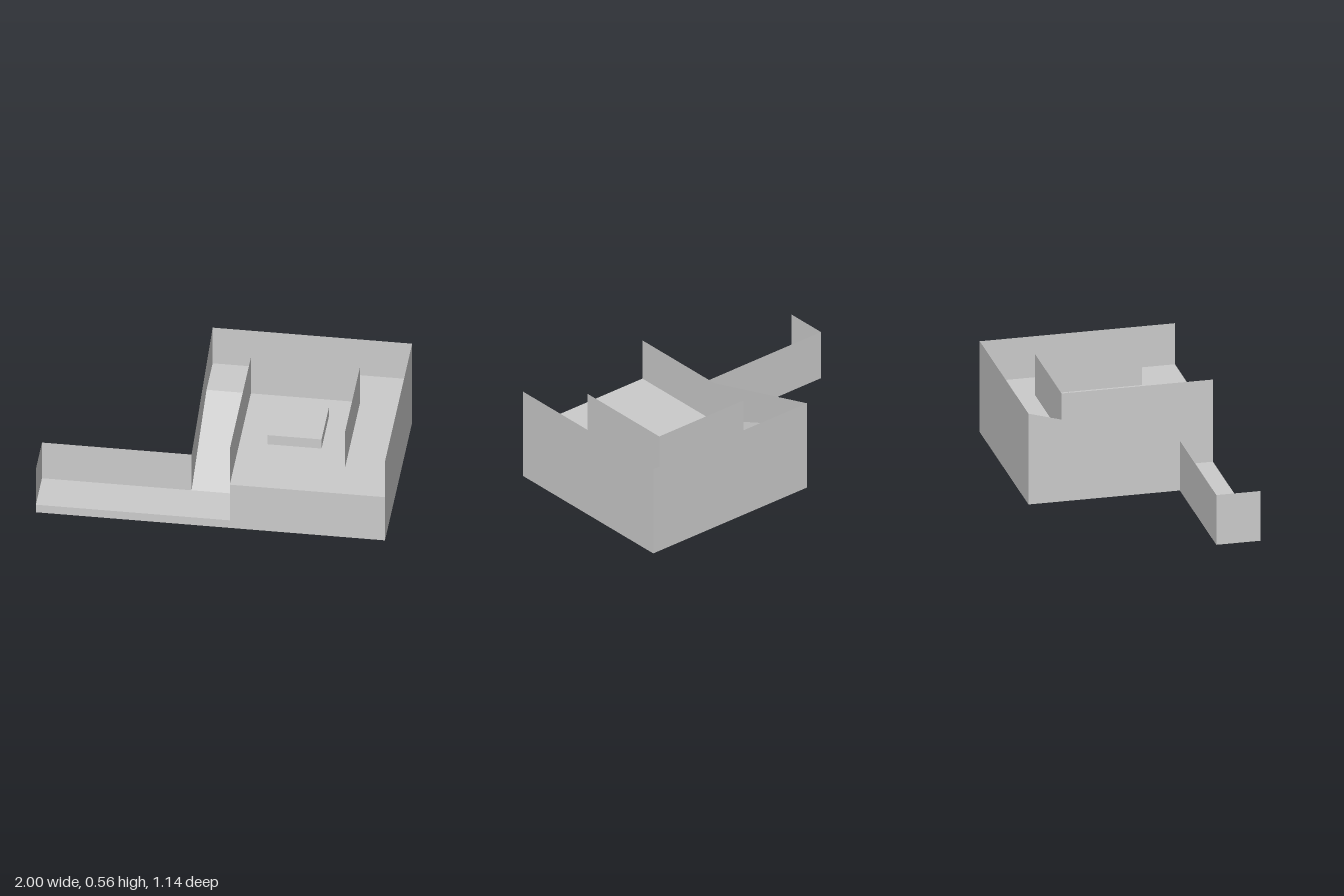
import * as THREE from 'three';

// Key plan lines and levels
const X0 = -1, XA = -0.143, XB = 0.111, XC = 0.737, X1 = 1;
const ZB = -0.571, ZI = -0.314, ZF = 0.314, Z1 = 0.571;
const LOW = 0.053, MID = 0.304, TOP = 0.555;

export function createModel() {
  const group = new THREE.Group();
  const solid = new THREE.MeshStandardMaterial({ color: 0xcccccc, flatShading: true });
  const sheet = new THREE.MeshStandardMaterial({ color: 0xcccccc, flatShading: true, side: THREE.DoubleSide });

  const add = (name, geometry, material) => {
    const mesh = new THREE.Mesh(geometry, material);
    mesh.name = name;
    group.add(mesh);
    return mesh;
  };
  const block = (name, xa, xb, ya, yb, za, zb) => add(name,
    new THREE.BoxGeometry(xb - xa, yb - ya, zb - za)
      .translate((xa + xb) / 2, (ya + yb) / 2, (za + zb) / 2), solid);
  const outline = (points) => new THREE.Shape(points.map(([a, b]) => new THREE.Vector2(a, b)));
  const rect = (a, b, ya, yb) => [[a, ya], [b, ya], [b, yb], [a, yb]];
  // Thin wall facing front/back, outlined in x,y
  const wallX = (name, z, points) =>
    add(name, new THREE.ShapeGeometry(outline(points)).translate(0, 0, z), sheet);
  // Thin wall facing sideways, outlined in z,y
  const wallZ = (name, x, points) =>
    add(name, new THREE.ShapeGeometry(outline(points)).rotateY(-Math.PI / 2).translate(x, 0, 0), sheet);

  // Floors: low entry corridor, raised platform, and ramp with landing
  block('entryFloor', X0, XB, 0, LOW, ZF, Z1);
  block('platform', XB, X1, 0, MID, ZB, Z1);
  const rampProfile = outline([[ZB, 0], [ZF, 0], [ZF, LOW], [ZI, MID], [ZB, MID]]);
  add('ramp', new THREE.ExtrudeGeometry(rampProfile, { depth: XB - XA, bevelEnabled: false })
    .rotateY(-Math.PI / 2).translate(XB, 0, 0), solid);

  // Low dais in the middle of the inner room
  block('dais', 0.272, 0.58, MID, 0.368, -0.157, 0.157);

  // Outer walls
  wallZ('entryEndWall', X0, rect(ZF, Z1, LOW, MID));
  wallX('entryBackWall', ZF, rect(X0, XA, LOW, MID));
  wallZ('rampWall', XA, [[ZB, MID], [ZI, MID], [ZF, LOW], [ZF, MID], [ZB, TOP]]);
  wallX('backWall', ZB, rect(XA, X1, MID, TOP));
  wallZ('sideWall', X1, rect(ZB, Z1, MID, TOP));

  // Inner room walls, open to the front
  wallZ('innerRampWall', XB, rect(ZI, Z1, MID, TOP));
  wallX('innerBackWall', ZI, rect(XB, XC, MID, TOP));
  wallZ('innerSideWall', XC, rect(ZI, ZF, MID, TOP));

  return group;
}
